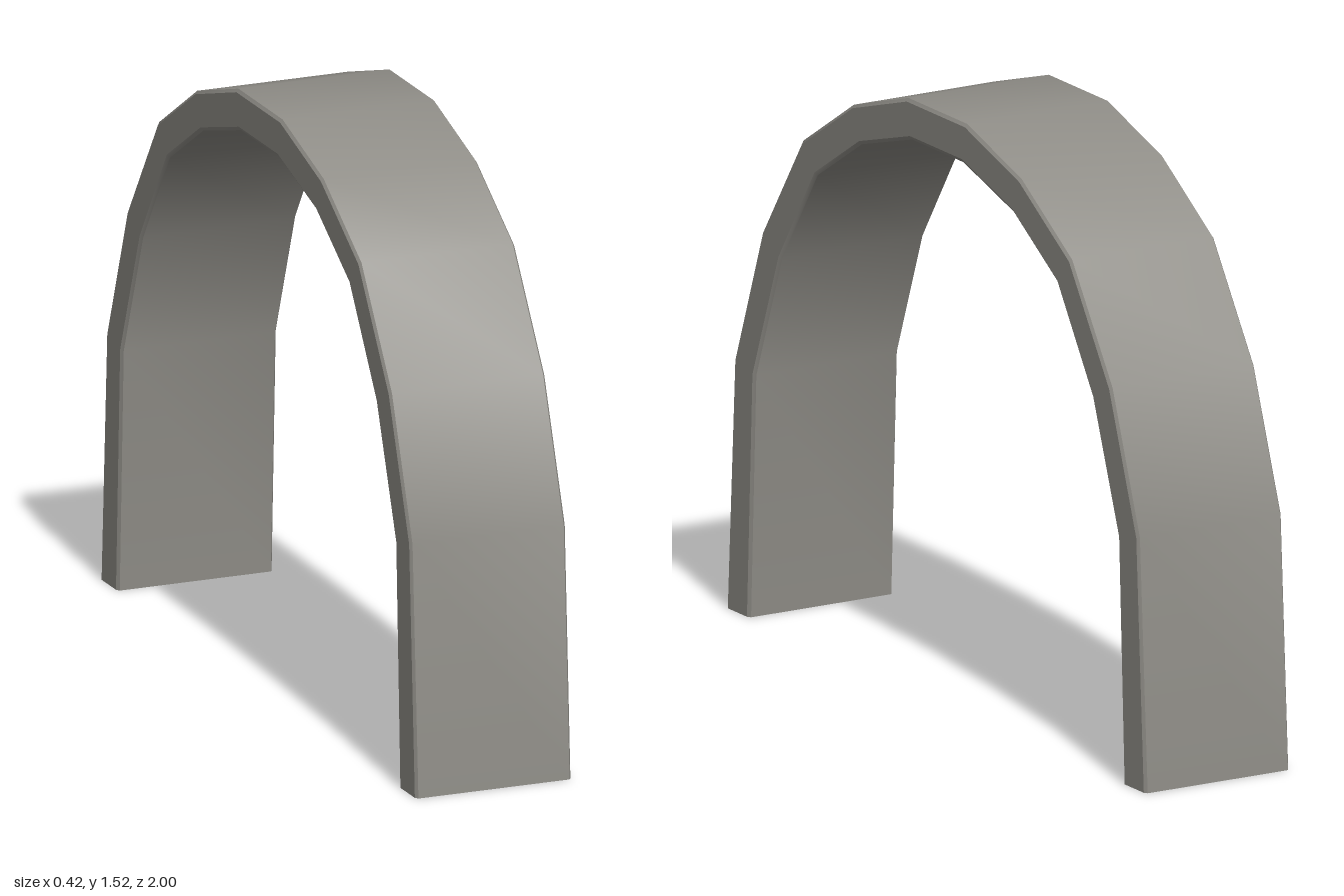
import * as THREE from 'three';

// Half profile of the arch from foot to crown, as [z, y]
const OUTER = [[1, 0], [0.963, 0.65], [0.833, 1.005], [0.64, 1.29], [0.4, 1.44], [0.14, 1.52]];
const INNER = [[0.89, 0], [0.865, 0.63], [0.742, 0.96], [0.572, 1.217], [0.362, 1.347], [0.122, 1.417]];

// Bevelled cross-section, as [x, fraction of the way from outer to inner profile]
const SECTION = [
  [-0.204, 0], [0.204, 0], [0.21, 0.08], [0.21, 0.91],
  [0.204, 1], [-0.204, 1], [-0.21, 0.91], [-0.21, 0.08],
];

const mirrored = (half) => [...half, ...half.slice().reverse().map(([z, y]) => [-z, y])];

export function createModel() {
  const group = new THREE.Group();
  group.name = 'arch';
  const grey = new THREE.MeshStandardMaterial({ color: 0x8f8d87, side: THREE.DoubleSide });
  grey.name = 'warm grey';

  const outer = mirrored(OUTER);
  const inner = mirrored(INNER);
  const positions = [];
  const indices = [];

  // One strip per side of the section: smooth along the arch, sharp between strips; feet stay open
  SECTION.forEach((from, s) => {
    const to = SECTION[(s + 1) % SECTION.length];
    const base = positions.length / 3;
    outer.forEach(([z, y], i) => {
      for (const [x, t] of [from, to]) {
        positions.push(x, y + (inner[i][1] - y) * t, z + (inner[i][0] - z) * t);
      }
      if (i > 0) {
        const a = base + 2 * (i - 1);
        indices.push(a, a + 1, a + 2, a + 1, a + 3, a + 2);
      }
    });
  });

  const geometry = new THREE.BufferGeometry();
  geometry.setAttribute('position', new THREE.Float32BufferAttribute(positions, 3));
  geometry.setIndex(indices);
  geometry.computeVertexNormals();

  const band = new THREE.Mesh(geometry, grey);
  band.name = 'archBand';
  group.add(band);
  return group;
}
